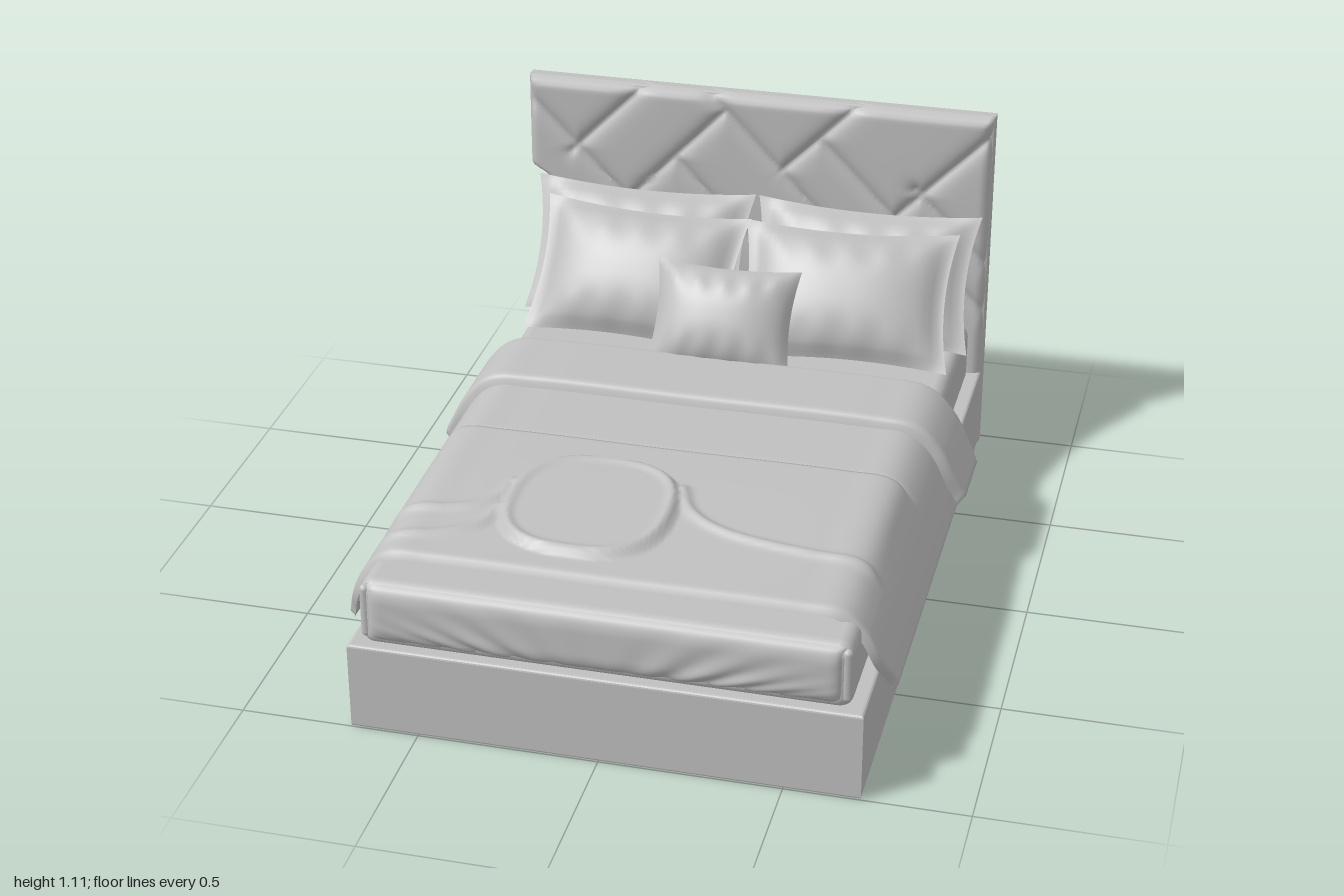
import * as THREE from 'three';
import { RoundedBoxGeometry } from 'three/addons/geometries/RoundedBoxGeometry.js';

const grey = new THREE.MeshStandardMaterial({ color: 0xc0c0c0 });
grey.name = 'soft grey';

const { lerp, smoothstep, clamp } = THREE.MathUtils;
const bell = (d, w) => Math.exp(-((d / w) ** 2));

function add(parent, name, geometry, x = 0, y = 0, z = 0) {
  const mesh = new THREE.Mesh(geometry, grey);
  mesh.name = name;
  mesh.position.set(x, y, z);
  parent.add(mesh);
  return mesh;
}

// Smooth surface from a rule p(u, v); its front is du x dv unless flipped
function grid(nu, nv, rule, flip = false) {
  const pos = [], index = [];
  for (let j = 0; j <= nv; j++) {
    for (let i = 0; i <= nu; i++) pos.push(...rule(i / nu, j / nv));
  }
  for (let j = 0; j < nv; j++) {
    for (let i = 0; i < nu; i++) {
      const a = j * (nu + 1) + i, b = a + 1, c = a + nu + 1, d = c + 1;
      if (flip) index.push(a, d, b, a, c, d);
      else index.push(a, b, d, a, d, c);
    }
  }
  const g = new THREE.BufferGeometry();
  g.setAttribute('position', new THREE.Float32BufferAttribute(pos, 3));
  g.setIndex(index);
  g.computeVertexNormals();
  return g;
}

// Distance from (x, y) to the segment (x1, y1)-(x2, y2)
function segmentDistance(x, y, [x1, y1, x2, y2]) {
  const dx = x2 - x1, dy = y2 - y1;
  const t = clamp(((x - x1) * dx + (y - y1) * dy) / (dx * dx + dy * dy), 0, 1);
  return Math.hypot(x - x1 - t * dx, y - y1 - t * dy);
}

// Quarter-round edge: 0 on the rim, 1 once r inside it
const roundEdge = (d, r) => Math.sqrt(Math.max(0, 1 - (1 - Math.min(1, d / r)) ** 2));

// Thick cloth laid across the bed: half cross-section, z range, corner cut, relief
function drape(parent, name, half, z0, z1, o) {
  const pts = [
    ...half.slice(1).reverse().map(([x, y]) => new THREE.Vector3(-x, y, 0)),
    ...half.map(([x, y]) => new THREE.Vector3(x, y, 0)),
  ];
  const curve = new THREE.CatmullRomCurve3(pts);
  const length = curve.getLength();
  const rule = (outer) => (u, v) => {
    const p = curve.getPointAt(u), t = curve.getTangentAt(u);
    const s = Math.abs(2 * u - 1);
    const cut = o.cut * smoothstep(s, 0.78, 1) ** 2;
    const z = lerp(z0 + (o.cutBack ? cut : 0), z1 - cut, v);
    let h = 0;
    if (outer) {
      const edge = Math.min(v * (z1 - z0), (1 - v) * (z1 - z0), u * length, (1 - u) * length);
      const relief = o.relief ? o.relief(p.x, z) * smoothstep(t.x, 0.5, 0.95) : 0;
      h = (o.thick + relief) * roundEdge(edge, o.round);
    }
    return [p.x - t.y * h, p.y + t.x * h, z];
  };
  add(parent, name, grid(o.nu, o.nv, rule(true), true));
  add(parent, name + 'Lining', grid(o.nu, 24, rule(false)));
}

// Cushion with pinched corners, a flat flange and a few gathers
function pillow(parent, name, w, h, depth, x, y, z, tilt, turn = 0, flange = 0.9) {
  const group = new THREE.Group();
  group.name = name;
  group.position.set(x, y, z);
  group.rotation.set(-tilt, turn, 0, 'YXZ');
  const rule = (side) => (a, b) => {
    const u = 2 * a - 1, v = 2 * b - 1;
    const fu = Math.min(1, Math.abs(u) / flange), fv = Math.min(1, Math.abs(v) / (flange + 0.05));
    const puff = ((1 - fu ** 2.4) * (1 - fv ** 2.4)) ** 0.6;
    const gather = 0.006 * Math.sin(u * 17 + v * 2) * bell(Math.abs(v) - 0.75, 0.25) * puff;
    return [
      w * u * (1 - 0.08 * (1 - v * v)),
      h * v * (1 - 0.1 * (1 - u * u)),
      side * (depth * puff + gather + 0.004 * (1 - Math.max(u * u, v * v))),
    ];
  };
  add(group, name + 'Front', grid(32, 28, rule(1)));
  add(group, name + 'Back', grid(32, 28, rule(-1), true));
  parent.add(group);
}

function makeHeadboard(bed) {
  // Backing board with a step on one side
  const outline = [[-0.68, 0.01], [0.7, 0.01], [0.7, 1.1], [-0.73, 1.1], [-0.73, 0.82], [-0.68, 0.79]];
  const shape = new THREE.Shape(outline.map(([x, y]) => new THREE.Vector2(x, y)));
  const board = new THREE.ExtrudeGeometry(shape, {
    depth: 0.035, bevelThickness: 0.008, bevelSize: 0.01, bevelSegments: 2,
  });
  add(bed, 'headboardBack', board, 0, 0, -0.992);

  // Padded face with diagonal stitched channels
  const seams = [
    [-0.377, 1.106, -0.6, 0.88], [-0.74, 1.05, -0.2, 0.51], [-0.12, 1.05, -0.69, 0.45],
    [-0.16, 1.106, 0.42, 0.5], [0.29, 1.106, 0.06, 0.873], [0.185, 0.99, 0.7, 0.47],
    [0.7, 1.05, 0.15, 0.48], [-0.27, 0.885, 0.1, 0.5], [0.48, 0.86, 0.7, 0.63],
    [-0.69, 0.63, -0.55, 0.5],
  ];
  add(bed, 'headboardPadding', grid(140, 110, (u, v) => {
    const y = lerp(0.002, 1.112, v);
    const left = lerp(-0.69, -0.74, smoothstep(y, 0.785, 0.825));
    const x = lerp(left, 0.71, u);
    const edge = Math.min(x - left, 0.71 - x, y, 1.112 - y);
    const d = Math.min(...seams.map((s) => segmentDistance(x, y, s)));
    return [x, y, -0.96 + 0.038 * roundEdge(edge, 0.03) - 0.022 * Math.exp(-d / 0.018)];
  }));
}

function makeBase(bed) {
  // Open box frame, hollow underneath
  const rect = (path, x, z0, z1) => path.moveTo(-x, z0).lineTo(x, z0).lineTo(x, z1).lineTo(-x, z1).closePath();
  const frame = rect(new THREE.Shape(), 0.688, -0.99, 0.93);
  frame.holes.push(rect(new THREE.Path(), 0.65, -0.95, 0.9));
  const walls = new THREE.ExtrudeGeometry(frame, {
    depth: 0.244, bevelThickness: 0.008, bevelSize: 0.01, bevelSegments: 3,
  });
  walls.rotateX(-Math.PI / 2);
  add(bed, 'baseFrame', walls, 0.01, 0.008, 0);
  add(bed, 'baseDeck', new THREE.BoxGeometry(1.32, 0.02, 1.88), 0.01, 0.24, 0.025);
}

function makeMattress(bed) {
  add(bed, 'mattress', new RoundedBoxGeometry(1.33, 0.2, 1.89, 5, 0.04), 0.005, 0.343, 0.025);
  // Gathered sheet at the foot
  add(bed, 'footSheet', grid(110, 24, (u, v) => {
    const x = lerp(-0.64, 0.65, u), y = lerp(0.265, 0.435, v);
    const puff = roundEdge(Math.min(u, 1 - u) * 1.29, 0.04) * roundEdge(Math.min(v, 1 - v) * 0.17, 0.05);
    const fan = Math.sin((x * 48) / (0.7 + v)) * bell(Math.abs(x) - 0.3, 0.2) * (1 - v);
    return [x, y, 0.955 + puff * (0.026 + 0.006 * fan)];
  }));
  // Corner piping
  for (const x of [-0.645, 0.655]) {
    add(bed, 'cornerPiping', new THREE.CapsuleGeometry(0.014, 0.13, 4, 10), x, 0.35, 0.955);
  }
}

function makeDuvet(bed) {
  // Creases sweeping away from the round throw, given as x, z
  const creases = [
    [[-0.67, 0.63], [-0.52, 0.61], [-0.42, 0.56], [-0.38, 0.45]],
    [[-0.67, 0.77], [-0.52, 0.74], [-0.42, 0.68], [-0.38, 0.58]],
    [[0.08, 0.38], [0.13, 0.49], [0.25, 0.57], [0.45, 0.61], [0.68, 0.62]],
  ].map((c) => new THREE.SplineCurve(c.map((p) => new THREE.Vector2(...p))).getPoints(14));

  const relief = (x, z) => {
    let h = 0.02 * smoothstep(z, 0.152, 0.168) * (1 - 0.8 * smoothstep(z, 0.3, 0.85));
    h -= 0.006 * bell(z - 0.15, 0.012);
    // Raised rounded-square throw with a rim
    const r = ((Math.abs(x + 0.145) / 0.235) ** 2.6 + (Math.abs(z - 0.525) / 0.245) ** 2.6) ** (1 / 2.6);
    h += 0.016 * smoothstep(1.03 - r, 0, 0.08) + 0.009 * bell(r - 0.92, 0.05);
    let d = 1;
    for (const c of creases) {
      for (let i = 1; i < c.length; i++) {
        d = Math.min(d, segmentDistance(x, z, [c[i - 1].x, c[i - 1].y, c[i].x, c[i].y]));
      }
    }
    return h + (r > 1 ? 0.013 * bell(d, 0.016) : 0);
  };
  drape(bed, 'duvet',
    [[0, 0.452], [0.5, 0.452], [0.61, 0.445], [0.67, 0.39], [0.715, 0.29], [0.745, 0.205]],
    -0.38, 0.855, { thick: 0.022, round: 0.025, cut: 0.07, nu: 170, nv: 120, relief });

  // Turned-back top of the duvet
  drape(bed, 'duvetFold',
    [[0, 0.468], [0.5, 0.468], [0.62, 0.457], [0.68, 0.4], [0.73, 0.31], [0.765, 0.24]],
    -0.4, -0.12, { thick: 0.036, round: 0.03, cut: 0.025, cutBack: true, nu: 120, nv: 40 });
}

export function createModel() {
  const bed = new THREE.Group();
  bed.name = 'bed';
  makeBase(bed);
  makeHeadboard(bed);
  makeMattress(bed);
  makeDuvet(bed);
  for (const s of [-1, 1]) {
    pillow(bed, 'backPillow', 0.345, 0.21, 0.075, s * 0.35, 0.625, -0.79, 0.5);
    pillow(bed, 'frontPillow', 0.325, 0.215, 0.085, s * 0.325, 0.615, -0.655, 0.68, s * 0.06);
  }
  pillow(bed, 'smallCushion', 0.22, 0.16, 0.085, -0.01, 0.59, -0.475, 0.57, 0, 0.98);
  return bed;
}
